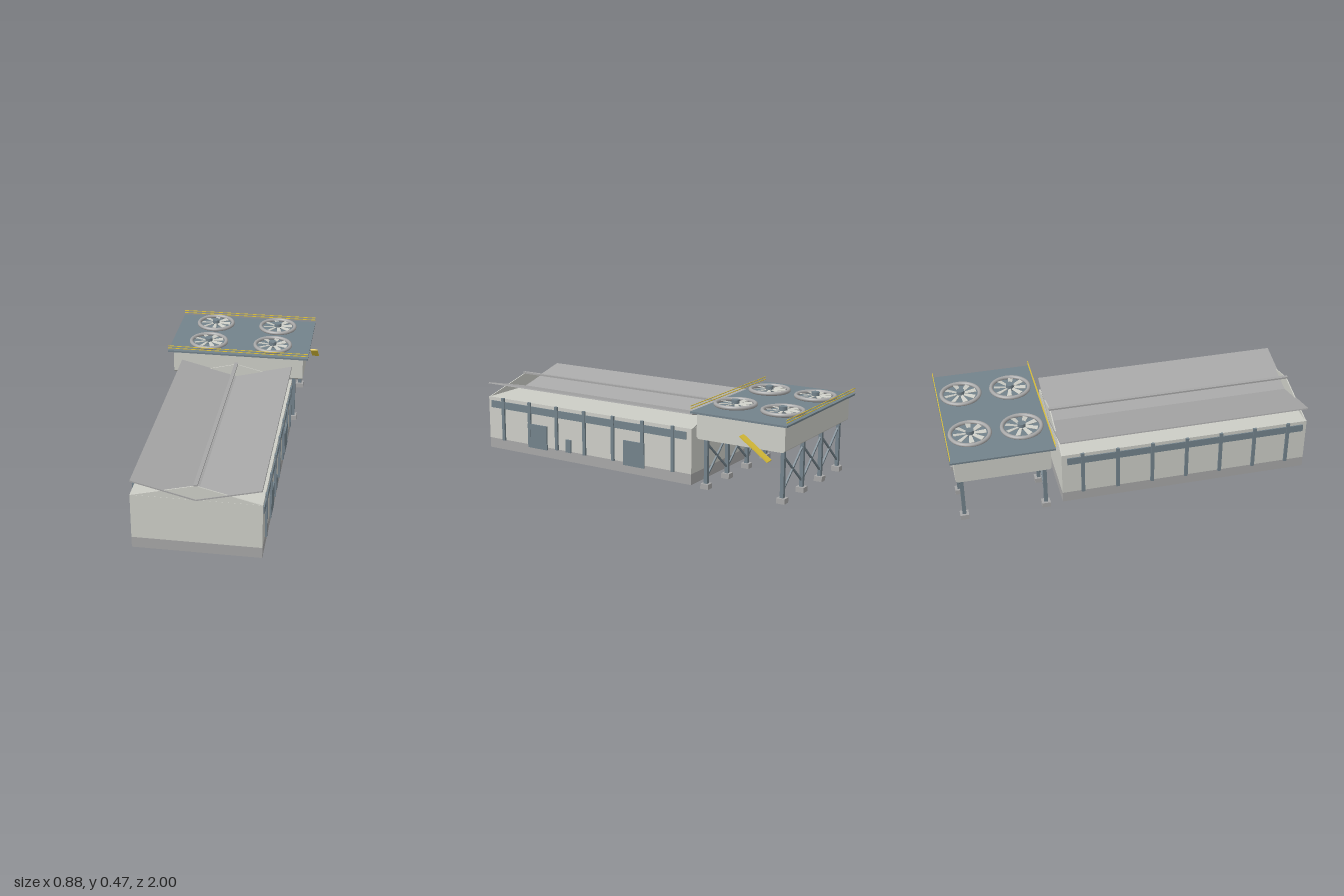
import * as THREE from 'three';

const mat = (name, color) => {
  const m = new THREE.MeshStandardMaterial({ color });
  m.name = name;
  return m;
};

export function createModel() {
  const wall = mat('pale cladding', 0xcccdc6);
  const grey = mat('grey concrete and roofing', 0xa7a7a7);
  const steel = mat('blue grey steel', 0x73828b);
  const yellow = mat('safety yellow', 0xdcc03a);

  const model = new THREE.Group();
  const add = (name, geo, material, x = 0, y = 0, z = 0, parent = model) => {
    const m = new THREE.Mesh(geo, material);
    m.name = name;
    m.position.set(x, y, z);
    parent.add(m);
    return m;
  };
  const box = (name, material, w, h, d, x, y, z, parent) =>
    add(name, new THREE.BoxGeometry(w, h, d), material, x, y, z, parent);

  // Long hall: plinth and walls, centred a little left of the axis
  const hall = new THREE.Group();
  hall.name = 'hall';
  hall.position.set(-0.019, 0, 0.298);
  model.add(hall);
  const half = 0.333, len = 1.396;
  box('plinth', grey, half * 2, 0.06, len, 0, 0.03, 0, hall);
  box('walls', wall, half * 2, 0.25, len, 0, 0.185, 0, hall);

  // Gable plates at both ends
  const tri = new THREE.Shape([[-half, 0], [half, 0], [0, 0.082]].map(p => new THREE.Vector2(...p)));
  for (const z of [-len / 2 + 0.001, len / 2 - 0.007]) {
    add('gable', new THREE.ExtrudeGeometry(tri, { depth: 0.006, bevelEnabled: false }), wall, 0, 0.308, z, hall);
  }

  // Roof panels falling toward the middle, with a cap beam above
  for (const s of [-1, 1]) {
    const p = box('roofPanel', grey, 0.339, 0.007, 1.4, s * 0.165, 0.35, 0, hall);
    p.rotation.z = s * 0.243;
  }
  box('ridgeCap', grey, 0.02, 0.01, 1.4, 0, 0.394, 0, hall);

  // Pilasters and high window band on both long sides
  for (const s of [-1, 1]) {
    box('windowBand', steel, 0.008, 0.042, 1.345, s * (half + 0.002), 0.269, 0.005, hall);
    for (let i = 0; i < 7; i++) {
      box('pilaster', steel, 0.012, 0.255, 0.019, s * (half + 0.005), 0.185, 0.587 - i * 0.195, hall);
    }
  }

  // Doors on the left side
  for (const [z, w, y0, y1] of [[0.634, 0.137, 0.045, 0.186], [-0.035, 0.137, 0.045, 0.186], [0.412, 0.036, 0.055, 0.13]]) {
    box('door', steel, 0.009, y1 - y0, w, 0.3185, (y0 + y1) / 2, z);
  }

  // Raised cooling unit: basin with clipped corners, and deck
  const basin = new THREE.Shape();
  const a = 0.255, b = 0.07, c = 0.01;
  [[-a, -b + c], [-a + c, -b], [a - c, -b], [a, -b + c], [a, b], [-a, b]]
    .forEach(([x, y], i) => (i ? basin.lineTo(x, y) : basin.moveTo(x, y)));
  const basinGeo = new THREE.ExtrudeGeometry(basin, { depth: 0.78, bevelEnabled: false });
  basinGeo.translate(0, 0, -0.39).rotateY(Math.PI / 2);
  add('basin', basinGeo, wall, -0.02, 0.35, -0.72);
  box('deck', steel, 0.84, 0.01, 0.556, -0.02, 0.425, -0.72);

  // Guard rails along the front and back of the deck
  for (const z of [-0.995, -0.445]) {
    for (const y of [0.445, 0.459]) box('guardRail', yellow, 0.84, 0.0035, 0.0035, -0.02, y, z);
  }

  // Fans: ring, eight pitched blades and hub
  const ringGeo = new THREE.TorusGeometry(0.106, 0.011, 10, 40).rotateX(Math.PI / 2);
  const bladeShape = new THREE.Shape([[0.018, -0.007], [0.088, -0.014], [0.088, 0.014], [0.018, 0.007]]
    .map(p => new THREE.Vector2(...p)));
  const bladeGeo = new THREE.ExtrudeGeometry(bladeShape, { depth: 0.003, bevelEnabled: false })
    .rotateX(-Math.PI / 2 + 0.2);
  const hubGeo = new THREE.CylinderGeometry(0.022, 0.022, 0.034, 20);
  let turn = 0;
  for (const z of [-0.863, -0.585]) {
    for (const x of [-0.215, 0.175]) {
      const fan = new THREE.Group();
      fan.name = 'fan';
      fan.position.set(x, 0.444, z);
      fan.rotation.y = turn;
      turn += 0.2;
      model.add(fan);
      add('fanRing', ringGeo, grey, 0, 0, 0, fan);
      add('fanHub', hubGeo, steel, 0, 0.006, 0, fan);
      for (let i = 0; i < 8; i++) {
        add('fanBlade', bladeGeo, wall, 0, 0, 0, fan).rotation.y = i * Math.PI / 4;
      }
    }
  }

  // Legs on footings with crossed braces in each row
  const legX = i => -0.355 + i * 0.224;
  for (const z of [-0.495, -0.942]) {
    for (let i = 0; i < 4; i++) {
      box('footing', grey, 0.045, 0.028, 0.047, legX(i), 0.014, z);
      box('leg', steel, 0.02, 0.255, 0.02, legX(i), 0.154, z);
      if (i === 3) continue;
      for (const s of [-1, 1]) {
        const brace = box('brace', steel, Math.hypot(0.224, 0.19), 0.009, 0.009, legX(i) + 0.112, 0.155, z);
        brace.rotation.z = s * Math.atan2(0.19, 0.224);
      }
    }
  }

  // Sloping access stair beside the basin
  const stair = box('stair', yellow, 0.042, 0.008, 0.195, 0.414, 0.295, -0.833);
  stair.rotation.x = -0.605;

  return model;
}
